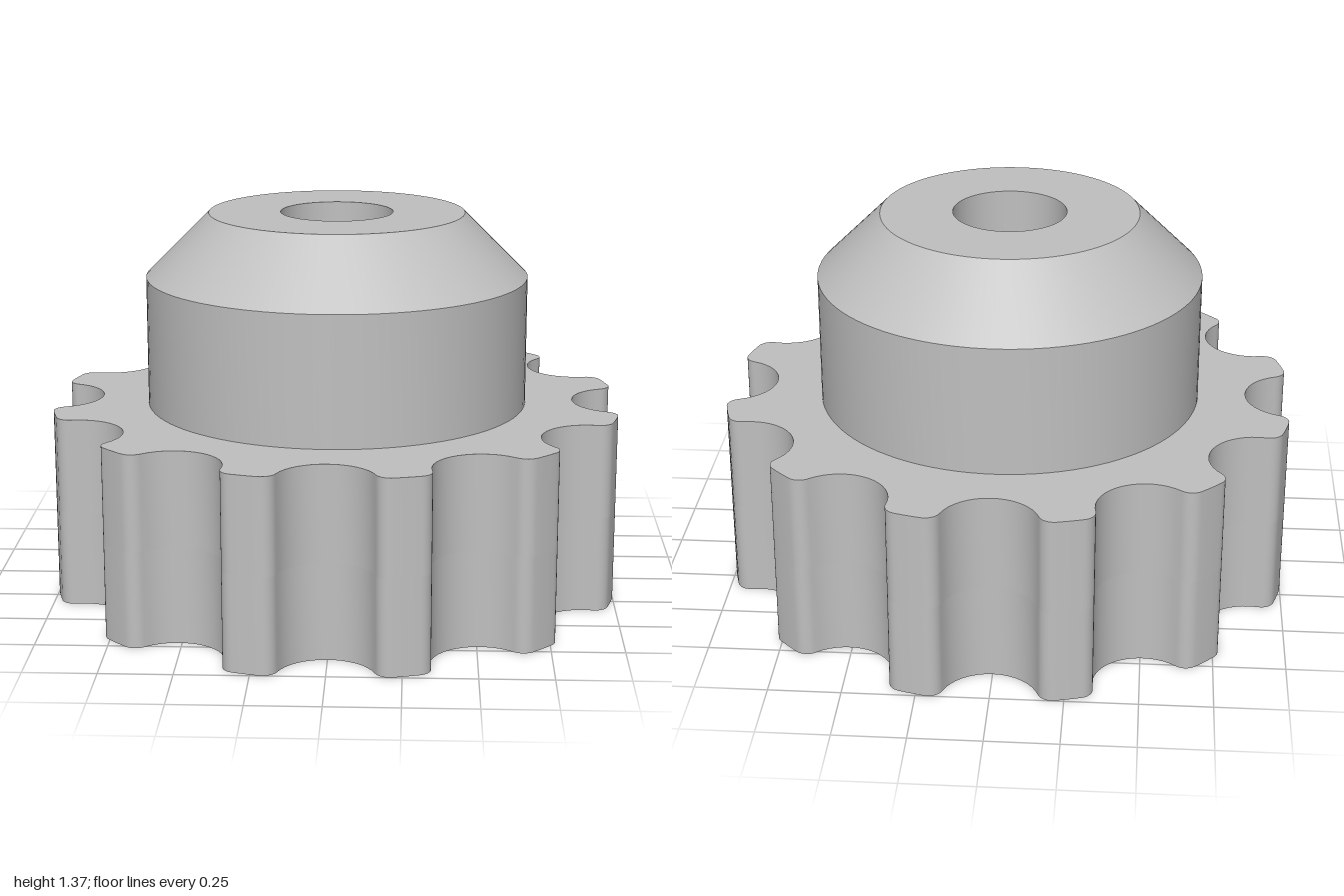
import * as THREE from 'three';
import { toCreasedNormals } from 'three/addons/utils/BufferGeometryUtils.js';

const TEETH = 12;
const OUTER = 1.022;      // radius at the lobe tips
const GROOVE = 0.17;      // finger groove radius
const GROOVE_AT = 1.02;   // groove centre distance from the axis
const FILLET = 0.05;      // rounding of the lobe corners
const FLANGE_TOP = 0.68;
const POCKET_TOP = 0.34;
const BORE = 0.2;
const SIDES = 96;

// Points of an arc, without its end point
function arc(cx, cy, r, from, to, steps) {
  return Array.from({ length: steps }, (_, i) => {
    const a = from + (to - from) * i / steps;
    return new THREE.Vector2(cx + r * Math.cos(a), cy + r * Math.sin(a));
  });
}

// Scalloped outline: fillet, groove, fillet, lobe tip, repeated
function gripOutline() {
  const d = OUTER - FILLET;
  const reach = GROOVE + FILLET;
  const b = Math.acos((d * d + GROOVE_AT ** 2 - reach ** 2) / (2 * d * GROOVE_AT));
  const phi = Math.atan2(d * Math.sin(b), GROOVE_AT - d * Math.cos(b));
  const step = 2 * Math.PI / TEETH;
  const fx = d * Math.cos(b), fy = d * Math.sin(b);
  const one = [
    ...arc(fx, -fy, FILLET, -b, phi, 7),
    ...arc(GROOVE_AT, 0, GROOVE, Math.PI + phi, Math.PI - phi, 16),
    ...arc(fx, fy, FILLET, -phi, b, 7),
    ...arc(0, 0, OUTER, b, step - b, 3),
  ];
  const points = [];
  for (let i = 0; i < TEETH; i++) {
    for (const p of one) points.push(p.clone().rotateAround(new THREE.Vector2(), i * step));
  }
  return points;
}

// Upright slab of the grip outline with one opening through it
function gripSlab(opening, bottom, top) {
  const shape = new THREE.Shape(gripOutline());
  const hole = new THREE.Path(opening);
  hole.closePath();
  shape.holes.push(hole);
  const geometry = new THREE.ExtrudeGeometry(shape, { depth: top - bottom, bevelEnabled: false });
  geometry.rotateX(-Math.PI / 2);
  geometry.translate(0, bottom, 0);
  return toCreasedNormals(geometry, 0.6);
}

export function createModel() {
  const model = new THREE.Group();
  model.name = 'gripKnob';
  const grey = new THREE.MeshStandardMaterial({ color: 0xc0c0c0 });
  grey.name = 'light grey';

  const add = (name, geometry) => {
    const mesh = new THREE.Mesh(geometry, grey);
    mesh.name = name;
    model.add(mesh);
  };

  // Lower grip half with the hexagonal nut pocket
  const hexagon = arc(0, 0, 0.38, Math.PI / 2, Math.PI * 2.5, 6);
  add('gripWithNutPocket', gripSlab(hexagon, 0, POCKET_TOP));

  // Upper grip half with the round bore
  const circle = arc(0, 0, BORE, 0, Math.PI * 2, SIDES);
  add('gripWithBore', gripSlab(circle, POCKET_TOP, FLANGE_TOP));

  // Chamfered hub and its bore
  const profile = [
    [0.68, FLANGE_TOP], [0.68, 1.14], [0.455, 1.365], [BORE, 1.365], [BORE, FLANGE_TOP],
  ].map(([r, y]) => new THREE.Vector2(r, y));
  add('hub', toCreasedNormals(new THREE.LatheGeometry(profile, SIDES), 0.6));

  return model;
}
